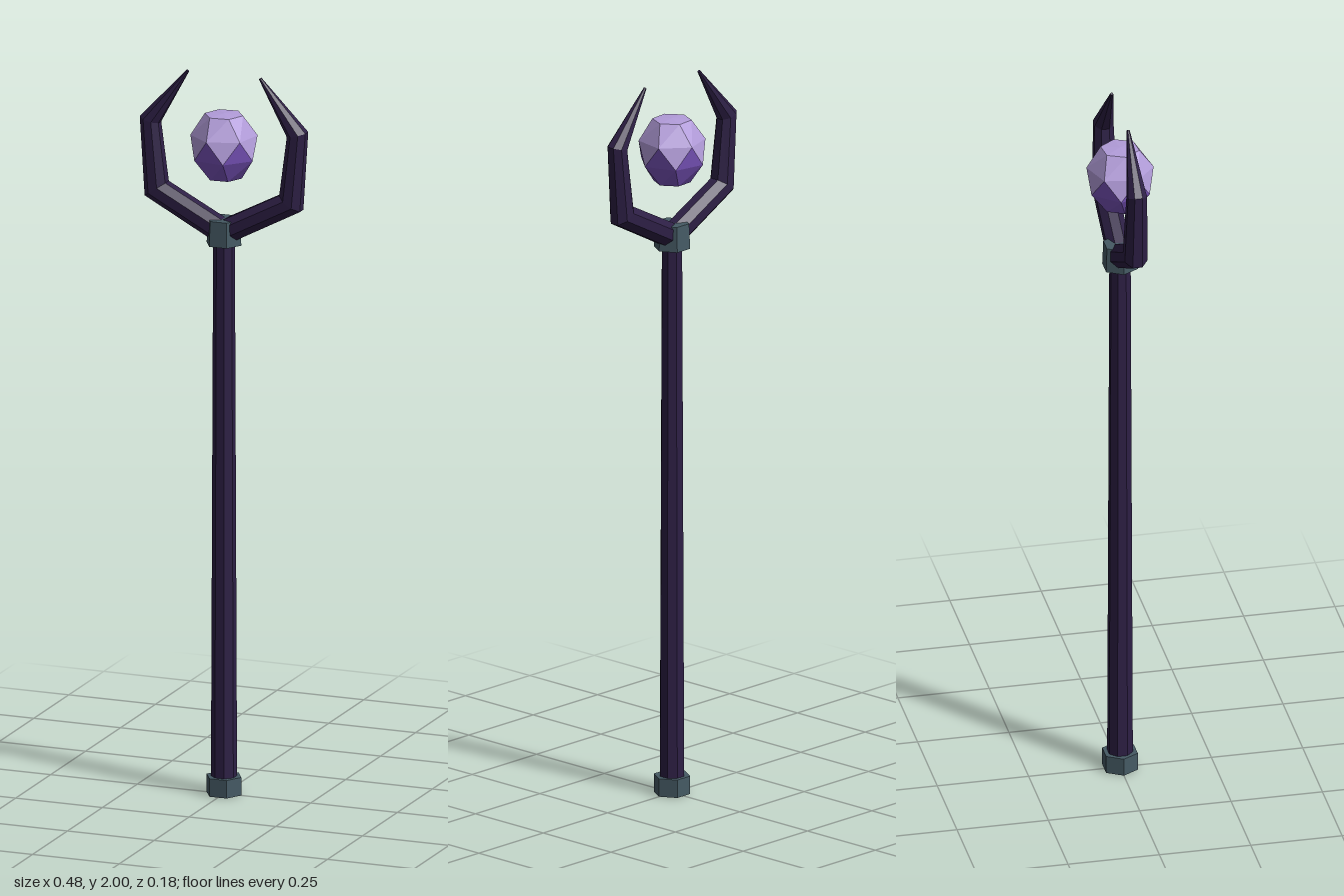
import * as THREE from 'three';

const mat = (name, color) => {
  const m = new THREE.MeshStandardMaterial({ color });
  m.name = name;
  m.flatShading = true;
  return m;
};

// Lofts an eight-sided tube along a mitred path in the xy plane
function loftProng(path, radii, sides = 8) {
  const pts = path.map(([x, y]) => new THREE.Vector2(x, y));
  const pos = [], index = [];
  pts.forEach((p, i) => {
    const a = p.clone().sub(pts[Math.max(i - 1, 0)]).normalize();
    const b = pts[Math.min(i + 1, pts.length - 1)].clone().sub(p).normalize();
    const t = a.clone().add(b).normalize();
    const miter = 1 / Math.max(t.dot(i ? a : b), 0.5);
    for (let k = 0; k < sides; k++) {
      const ang = ((k + 0.5) / sides) * Math.PI * 2;
      const u = Math.cos(ang) * radii[i] * miter;
      pos.push(p.x + t.y * u, p.y - t.x * u, Math.sin(ang) * radii[i]);
    }
  });
  for (let i = 0; i < pts.length - 1; i++) {
    for (let k = 0; k < sides; k++) {
      const a = i * sides + k, b = i * sides + (k + 1) % sides;
      index.push(a, a + sides, b + sides, a, b + sides, b);
    }
  }
  // Close the tip
  const tip = (pts.length - 1) * sides;
  for (let k = 1; k < sides - 1; k++) index.push(tip, tip + k + 1, tip + k);
  return flat(pos, index);
}

function flat(pos, index) {
  let g = new THREE.BufferGeometry();
  g.setAttribute('position', new THREE.Float32BufferAttribute(pos, 3));
  g.setIndex(index);
  g = g.toNonIndexed();
  g.computeVertexNormals();
  return g;
}

// Builds triangles around the origin, each turned to face outward
function facets(tris) {
  const pos = [];
  for (const [a, b, c] of tris) {
    const n = b.clone().sub(a).cross(c.clone().sub(a));
    const order = n.dot(a.clone().add(b).add(c)) > 0 ? [a, b, c] : [a, c, b];
    order.forEach((v) => pos.push(v.x, v.y, v.z));
  }
  return flat(pos, [...Array(pos.length / 3).keys()]);
}

export function createModel() {
  const wood = mat('dark purple wood', 0x2d1f45);
  const metal = mat('grey metal', 0x455a64);
  const pale = mat('lavender crystal', 0xb39ddb);
  const deep = mat('violet crystal', 0x7e57c2);
  const model = new THREE.Group();
  model.name = 'staff';
  const add = (name, geo, m, parent = model) => {
    const mesh = new THREE.Mesh(geo, m);
    mesh.name = name;
    parent.add(mesh);
    return mesh;
  };

  // Tapered shaft
  const shaft = add('shaft', new THREE.CylinderGeometry(0.029, 0.035, 1.53, 8), wood);
  shaft.position.y = 0.795;
  shaft.rotation.y = Math.PI / 8;

  // Hexagonal metal fittings
  for (const [name, y, h, top, bottom] of [
    ['footCap', 0.025, 0.05, 0.05, 0.05],
    ['collar', 1.5625, 0.07, 0.047, 0.05],
  ]) {
    const c = add(name, new THREE.CylinderGeometry(top, bottom, h, 6), metal);
    c.position.y = y;
    c.rotation.y = Math.PI / 6;
  }

  // Pair of bent prongs curling round the crystal
  const prong = loftProng(
    [[0, 1.56], [0.194, 1.662], [0.212, 1.853], [0.104, 1.998]],
    [0.035, 0.034, 0.028, 0.004]
  );
  add('leftProng', prong, wood);
  add('rightProng', prong, wood).rotation.y = Math.PI;

  // Floating twisted crystal: four six-sided rings
  const orb = new THREE.Group();
  orb.name = 'crystal';
  orb.position.y = 1.8;
  model.add(orb);
  const ring = (r, y, deg) => Array.from({ length: 6 }, (_, k) => {
    const a = THREE.MathUtils.degToRad(deg + k * 60);
    return new THREE.Vector3(r * Math.cos(a), y, -r * Math.sin(a));
  });
  const cap = ring(0.053, 0.087, 6), upper = ring(0.09, 0.03, 20);
  const lower = ring(0.09, -0.03, 50), base = ring(0.05, -0.087, 64);
  const top = new THREE.Vector3(0, 0.09, 0), foot = new THREE.Vector3(0, -0.09, 0);
  const paleTris = [], deepTris = [];
  for (let k = 0; k < 6; k++) {
    const n = (k + 1) % 6;
    paleTris.push([top, cap[k], cap[n]], [cap[k], cap[n], upper[k]],
      [cap[n], upper[k], upper[n]], [upper[k], upper[n], lower[k]]);
    deepTris.push([foot, base[k], base[n]], [base[k], base[n], lower[n]],
      [base[k], lower[k], lower[n]], [lower[k], lower[n], upper[n]]);
  }
  add('crystalTop', facets(paleTris), pale, orb);
  add('crystalBottom', facets(deepTris), deep, orb);

  return model;
}
